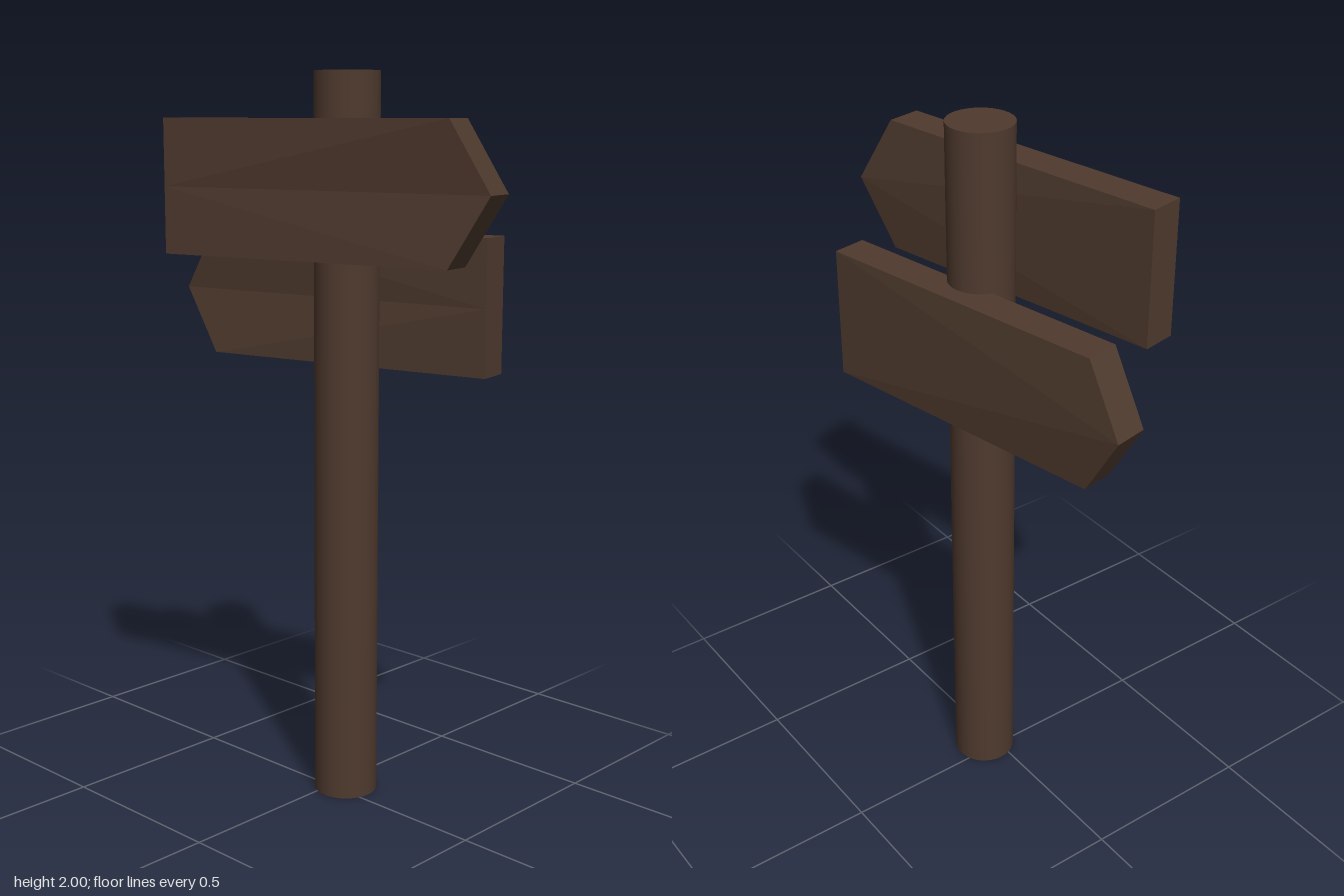
import * as THREE from 'three';

const wood = new THREE.MeshStandardMaterial({ color: 0x4f3a2e, flatShading: true });
const postWood = new THREE.MeshStandardMaterial({ color: 0x4f3a2e });

// Arrow board: tail, shoulder and tip are [x, z] on its front face, y is the mid height.
// dir is +1 when the arrow points to +x, -1 when it points to -x.
function arrowBoard(name, y, dir, tail, shoulder, tip) {
  const h = 0.182 * dir;
  const outline = [
    [tail, -h], [shoulder, -h], [tip, 0], [shoulder, h], [tail, h], [tail, 0],
  ];
  const front = outline.map(([[x, z], dy]) => [x, y + dy, z]);
  const back = front.map(([x, py, z]) => [x - 0.019, py, z - 0.094]);
  const pos = [];
  const quad = (a, b, c, d) => pos.push(...a, ...b, ...c, ...a, ...c, ...d);

  // Faces, each split along the slightly raised centre line
  quad(front[5], front[0], front[1], front[2]);
  quad(front[5], front[2], front[3], front[4]);
  quad(back[2], back[1], back[0], back[5]);
  quad(back[4], back[3], back[2], back[5]);

  // Rim
  for (let i = 0; i < 6; i++) {
    const j = (i + 1) % 6;
    quad(front[i], back[i], back[j], front[j]);
  }

  const geometry = new THREE.BufferGeometry();
  geometry.setAttribute('position', new THREE.Float32BufferAttribute(pos, 3));
  geometry.computeVertexNormals();
  const mesh = new THREE.Mesh(geometry, wood);
  mesh.name = name;
  return mesh;
}

export function createModel() {
  const group = new THREE.Group();
  group.name = 'signpost';

  // Round post
  const post = new THREE.Mesh(new THREE.CylinderGeometry(0.088, 0.088, 2, 32), postWood);
  post.name = 'post';
  post.position.set(0.034, 1, -0.03);
  group.add(post);

  // Two boards pointing opposite ways, on opposite sides of the post
  group.add(
    arrowBoard('upperBoard', 1.697, 1, [-0.394, 0.238], [0.462, 0.068], [0.563, 0.029]),
    arrowBoard('lowerBoard', 1.397, -1, [0.417, -0.147], [-0.438, 0.02], [-0.55, 0.023]),
  );
  return group;
}
